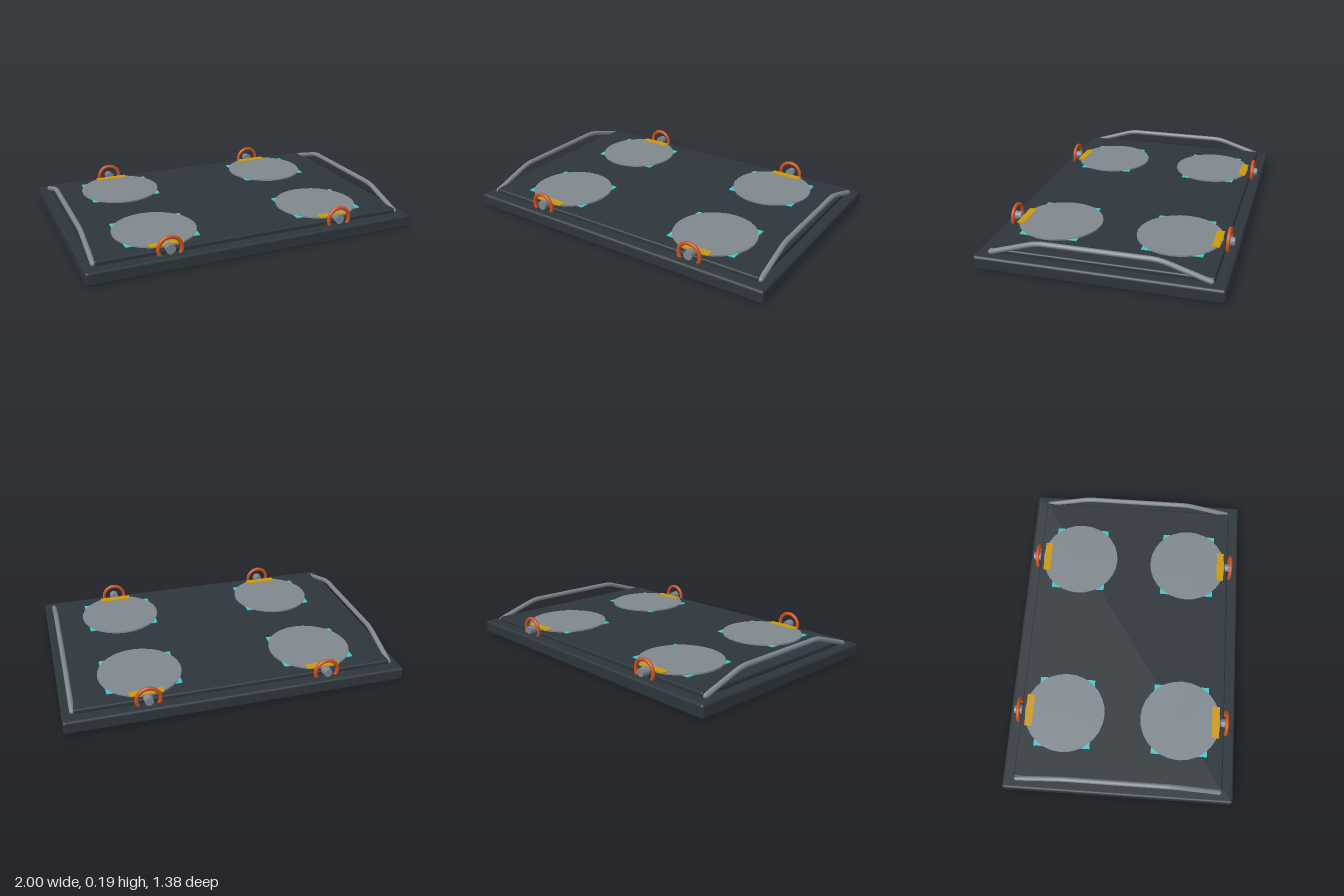
import * as THREE from 'three';
import { RoundedBoxGeometry } from 'three/addons/geometries/RoundedBoxGeometry.js';

function material(name, color) {
  const m = new THREE.MeshStandardMaterial({ color });
  m.name = name;
  return m;
}

export function createModel() {
  const model = new THREE.Group();
  model.name = 'landingPlatform';

  const slate = material('dark slate', 0x2d353b);
  const padGrey = material('pad grey', 0x7f888e);
  const steel = material('rail steel', 0x7d858e);
  const orange = material('ring orange', 0xc9501f);
  const yellow = material('marker yellow', 0xc8980c);
  const teal = material('corner teal', 0x45c4c8);

  function add(parent, name, geometry, mat, x = 0, y = 0, z = 0) {
    const mesh = new THREE.Mesh(geometry, mat);
    mesh.name = name;
    mesh.position.set(x, y, z);
    parent.add(mesh);
    return mesh;
  }

  // Bevelled base and the raised deck on it
  add(model, 'base', new RoundedBoxGeometry(2, 0.08, 1.38, 2, 0.015), slate, 0, 0.04, 0);
  add(model, 'deck', new RoundedBoxGeometry(1.87, 0.05, 1.245, 2, 0.01), slate, 0, 0.081, 0);

  // Side rails: sloping ends and a level middle with softened bends
  const v = (y, z) => new THREE.Vector3(0, y, z);
  const rail = new THREE.CurvePath();
  rail.add(new THREE.LineCurve3(v(0.088, 0.605), v(0.16, 0.38)));
  rail.add(new THREE.QuadraticBezierCurve3(v(0.16, 0.38), v(0.174, 0.335), v(0.174, 0.29)));
  rail.add(new THREE.LineCurve3(v(0.174, 0.29), v(0.174, -0.29)));
  rail.add(new THREE.QuadraticBezierCurve3(v(0.174, -0.29), v(0.174, -0.335), v(0.16, -0.38)));
  rail.add(new THREE.LineCurve3(v(0.16, -0.38), v(0.088, -0.605)));
  const railGeometry = new THREE.TubeGeometry(rail, 64, 0.015, 10);

  for (const sx of [-1, 1]) {
    add(model, sx > 0 ? 'leftRail' : 'rightRail', railGeometry, steel, sx * 0.94, 0, 0);
    // Rounded caps close the rail ends
    for (const sz of [-1, 1]) {
      add(model, 'railCap', new THREE.SphereGeometry(0.015, 10, 8), steel, sx * 0.94, 0.088, sz * 0.605);
    }
  }

  // Four stations, each a pad with corner markers, a stripe and a ring
  for (const sx of [-1, 1]) {
    for (const sz of [-1, 1]) {
      const station = new THREE.Group();
      station.name = 'station';
      station.position.set(sx * 0.525, 0, sz * 0.355);
      model.add(station);

      add(station, 'pad', new THREE.CylinderGeometry(0.245, 0.245, 0.012, 28), padGrey, 0, 0.109, 0);
      add(station, 'stripe', new THREE.BoxGeometry(0.195, 0.006, 0.045), yellow, 0, 0.115, sz * 0.216);

      for (const cx of [-1, 1]) {
        for (const cz of [-1, 1]) {
          add(station, 'cornerMarker', new THREE.BoxGeometry(0.06, 0.008, 0.06), teal,
            cx * 0.186, 0.107, cz * 0.14);
        }
      }

      // Upright ring sunk into the base, with a stud through its centre
      const ringZ = sz * 0.278;
      add(station, 'ring', new THREE.TorusGeometry(0.068, 0.011, 10, 32), orange, 0, 0.111, ringZ);
      const stud = add(station, 'stud', new THREE.CylinderGeometry(0.028, 0.024, 0.045, 16), steel,
        0, 0.111, ringZ - 0.008);
      stud.rotation.x = Math.PI / 2;
    }
  }

  return model;
}
